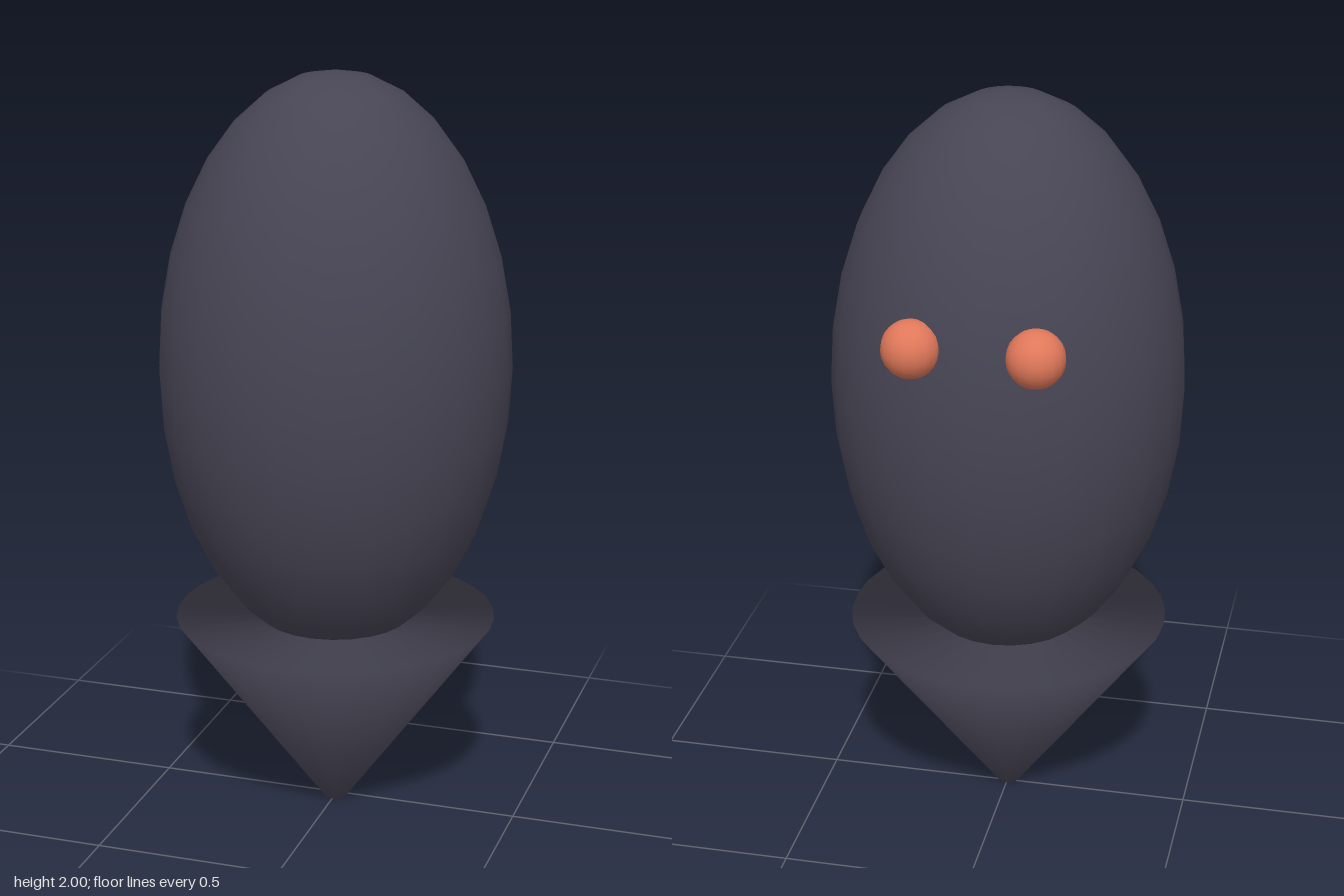
import * as THREE from 'three';

export function createModel() {
  const model = new THREE.Group();
  const charcoal = new THREE.MeshStandardMaterial({ color: 0x474554 });
  charcoal.name = 'charcoal';
  const coral = new THREE.MeshStandardMaterial({ color: 0xe0785a });
  coral.name = 'coral';
  const centreZ = 0.015;

  function add(name, geometry, material, x, y, z) {
    const mesh = new THREE.Mesh(geometry, material);
    mesh.name = name;
    mesh.position.set(x, y, z);
    model.add(mesh);
    return mesh;
  }

  // Tall egg-shaped body
  const bodyGeometry = new THREE.SphereGeometry(1, 24, 16).scale(0.462, 0.77, 0.462);
  add('body', bodyGeometry, charcoal, 0, 1.23, centreZ);

  // Inverted cone base, closed at both ends and smooth across the rim
  const profile = [[0, 0], [0.03, 0], [0.428, 0.54], [0, 0.54]].map(([r, y]) => new THREE.Vector2(r, y));
  const coneGeometry = new THREE.LatheGeometry(profile, 32);
  // The flat top keeps the soft normals of its rim
  const normal = coneGeometry.attributes.normal;
  for (let i = 3; i < normal.count; i += 4) {
    normal.setXYZ(i, normal.getX(i - 1), normal.getY(i - 1), normal.getZ(i - 1));
  }
  add('coneBase', coneGeometry, charcoal, 0, 0, centreZ);

  // Pair of round eyes set into the back of the body
  const eyeGeometry = new THREE.SphereGeometry(0.074, 16, 12);
  for (const side of [1, -1]) {
    add(side > 0 ? 'leftEye' : 'rightEye', eyeGeometry, coral, side * 0.155, 1.465, -0.404);
  }

  return model;
}
